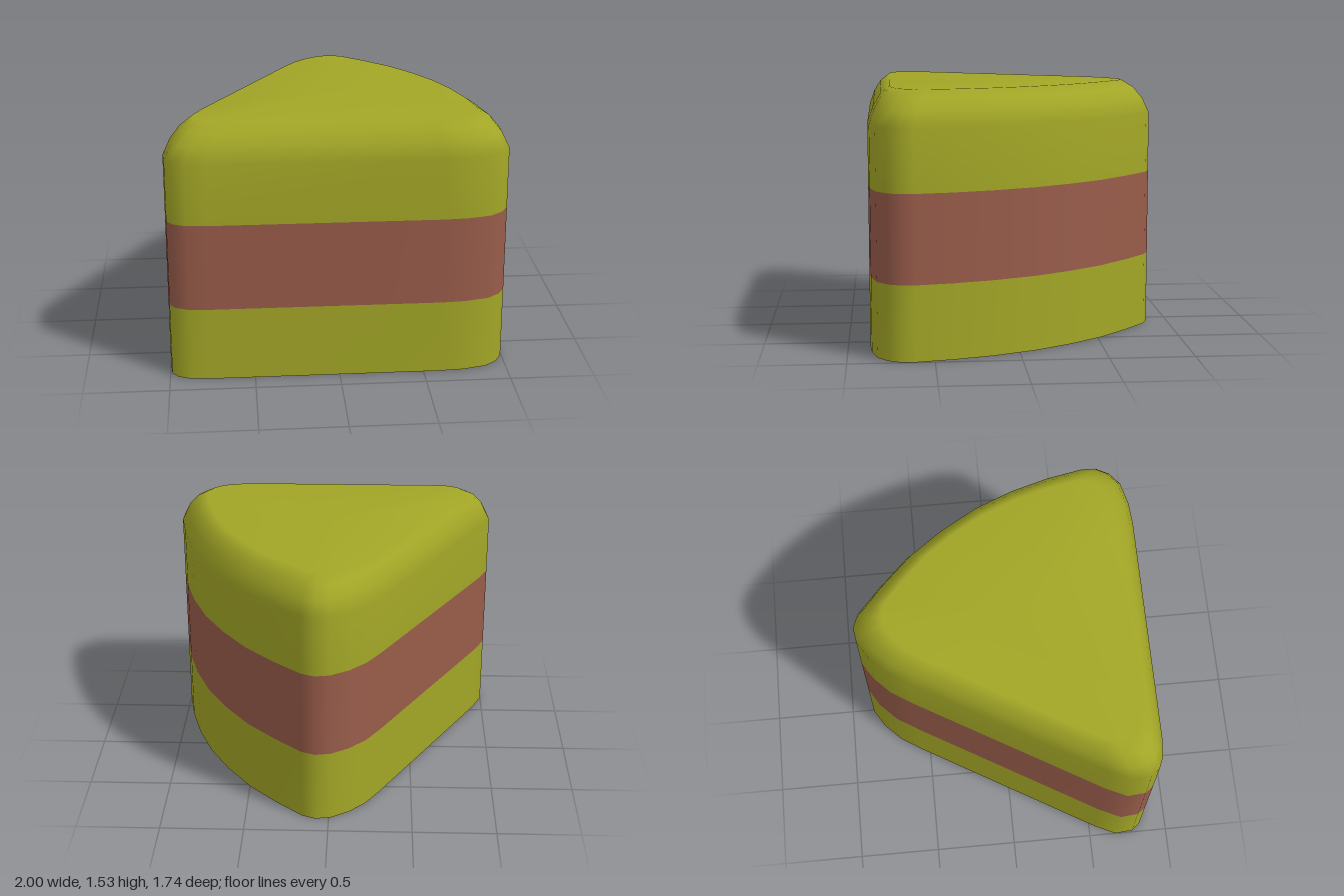
import * as THREE from 'three';

// Wedge outline as [x, z], counter-clockwise seen from above
const OUTLINE = [
  [-0.76, 0.87], [0.6, 0.87], [0.74, 0.86], [0.88, 0.825], [0.955, 0.765], [0.995, 0.69],
  [0.997, 0.61], [0.955, 0.39], [0.885, 0.15], [0.785, -0.09], [0.655, -0.31], [0.5, -0.52],
  [0.32, -0.7], [0.16, -0.84], [0.08, -0.872], [-0.01, -0.858], [-0.12, -0.79], [-0.22, -0.69],
  [-0.3, -0.565], [-0.94, 0.54], [-1, 0.67], [-0.99, 0.78], [-0.95, 0.83], [-0.88, 0.86],
];
// Rings as [height, scale]: straight walls, then a rounded shoulder
const RINGS = [[0, 1], [0.445, 1], [0.965, 1], [1.33, 1], [1.42, 0.957], [1.488, 0.9], [1.535, 0.823]];
const CENTRE_Z = 0.13;

export function createModel() {
  const group = new THREE.Group();
  group.name = 'cakeSlice';
  const n = OUTLINE.length;

  const positions = [];
  for (const [y, s] of RINGS)
    for (const [x, z] of OUTLINE) positions.push(x * s, y, CENTRE_Z + (z - CENTRE_Z) * s);
  positions.push(0, 1.535, CENTRE_Z);
  const apex = RINGS.length * n;

  // Wall faces between two rings
  const wall = (from, to) => {
    const index = [];
    for (let r = from; r < to; r++)
      for (let i = 0; i < n; i++) {
        const a = r * n + i, b = r * n + (i + 1) % n;
        index.push(a, b, b + n, a, b + n, a + n);
      }
    return index;
  };
  const lid = [];
  for (let i = 0; i < n; i++) lid.push(apex - n + i, apex - n + (i + 1) % n, apex);

  const lower = wall(0, 1), middle = wall(1, 2), upper = [...wall(2, RINGS.length - 1), ...lid];

  // Whole open-bottomed shell, so normals run smoothly across the bands
  const shell = new THREE.BufferGeometry();
  shell.setAttribute('position', new THREE.Float32BufferAttribute(positions, 3));
  shell.setIndex([...lower, ...middle, ...upper]);
  shell.computeVertexNormals();

  const material = (name, color) => {
    const m = new THREE.MeshStandardMaterial({ color, side: THREE.DoubleSide });
    m.name = name;
    return m;
  };
  const green = material('olive green', 0xa2a626);
  const brown = material('reddish brown', 0x985c4a);

  const addBand = (name, index, mat) => {
    const geometry = new THREE.BufferGeometry();
    geometry.setAttribute('position', shell.getAttribute('position').clone());
    geometry.setAttribute('normal', shell.getAttribute('normal').clone());
    geometry.setIndex(index);
    const mesh = new THREE.Mesh(geometry, mat);
    mesh.name = name;
    group.add(mesh);
  };
  addBand('lowerLayer', lower, green);
  addBand('fillingLayer', middle, brown);
  addBand('upperLayer', upper, green);
  return group;
}
